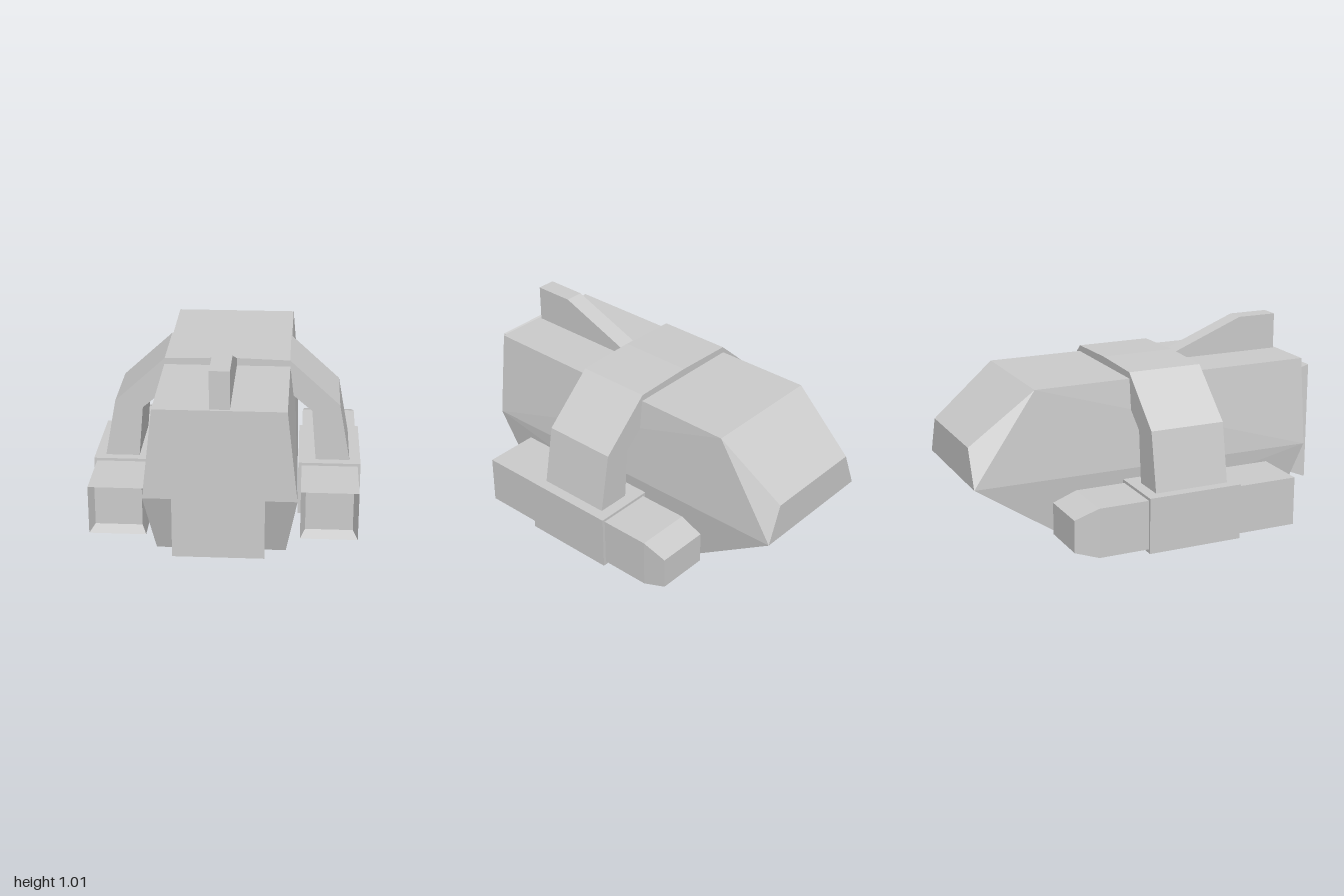
import * as THREE from 'three';
import { ConvexGeometry } from 'three/addons/geometries/ConvexGeometry.js';

const material = new THREE.MeshStandardMaterial({ color: 0xcccccc, flatShading: true });

function addPart(parent, name, geometry) {
  const mesh = new THREE.Mesh(geometry, material);
  mesh.name = name;
  parent.add(mesh);
  return mesh;
}

// Skin a run of rectangles [z, x0, x1, y0, y1], ordered from +z to -z, with closed ends
function rectLoft(rings) {
  const pos = [], index = [];
  for (const [z, x0, x1, y0, y1] of rings) {
    pos.push(x0, y0, z, x1, y0, z, x1, y1, z, x0, y1, z);
  }
  for (let r = 0; r < rings.length - 1; r++) {
    for (let i = 0; i < 4; i++) {
      const a = r * 4 + i, b = r * 4 + (i + 1) % 4;
      index.push(a, a + 4, b, b, a + 4, b + 4);
    }
  }
  const e = (rings.length - 1) * 4;
  index.push(0, 1, 2, 0, 2, 3, e, e + 2, e + 1, e, e + 3, e + 2);
  const indexed = new THREE.BufferGeometry();
  indexed.setAttribute('position', new THREE.Float32BufferAttribute(pos, 3));
  indexed.setIndex(index);
  const geometry = indexed.toNonIndexed();
  geometry.computeVertexNormals();
  return geometry;
}

function extrudeShape(points, depth) {
  const shape = new THREE.Shape(points.map(([x, y]) => new THREE.Vector2(x, y)));
  return new THREE.ExtrudeGeometry(shape, { depth, bevelEnabled: false });
}

export function createModel() {
  const model = new THREE.Group();
  model.name = 'shuttle';

  // Faceted hull: half-width, y, z of each corner, mirrored across x
  const corners = [
    [0.325, 0.815, 0.89], [0.38, 0.345, 0.89], [0.325, 0.02, 0.775],
    [0.33, 0.815, -0.66], [0.28, 0.545, -1], [0.36, 0.345, -1], [0.325, 0.02, -0.52],
  ];
  const hullPoints = corners.flatMap(([x, y, z]) =>
    [new THREE.Vector3(x, y, z), new THREE.Vector3(-x, y, z)]);
  addPart(model, 'hull', new ConvexGeometry(hullPoints));

  // Flared block at the +z end
  addPart(model, 'endBlock', rectLoft([
    [1, -0.225, 0.225, 0.09, 0.745],
    [0.75, -0.13, 0.13, 0.18, 0.635],
  ]));

  // Top fin, profile drawn as (-z, y) and turned to lie along z
  const fin = addPart(model, 'fin', extrudeShape([
    [-0.875, 0.78], [-0.265, 0.78], [-0.265, 0.855], [-0.655, 1.01], [-0.875, 1.01],
  ], 0.1));
  fin.rotation.y = Math.PI / 2;
  fin.position.x = -0.05;

  // Arch over the hull carrying the side pods
  const outer = [[0.65, 0.28], [0.59, 0.605], [0.325, 0.848]];
  const inner = [[0.2, 0.78], [0.445, 0.57], [0.47, 0.28]];
  const flip = (pts) => pts.map(([x, y]) => [-x, y]).reverse();
  const arch = addPart(model, 'arch', extrudeShape(
    [...outer, [0, 0.857], ...flip(outer), ...flip(inner), ...inner], 0.405));
  arch.position.z = -0.14;

  // Side pods: recessed at +z, chamfered at -z, each wrapped by a clamp
  for (const side of [1, -1]) {
    const pod = new THREE.Group();
    pod.name = side > 0 ? 'leftPod' : 'rightPod';
    const place = (rings) => rectLoft(rings.map(([z, a, b, y0, y1]) =>
      side > 0 ? [z, a, b, y0, y1] : [z, -b, -a, y0, y1]));
    addPart(pod, 'podBody', place([
      [0.585, 0.42, 0.665, 0.045, 0.255],
      [0.645, 0.395, 0.69, 0.02, 0.28],
      [-0.47, 0.395, 0.69, 0.02, 0.28],
      [-0.6, 0.402, 0.682, 0.065, 0.235],
    ]));
    addPart(pod, 'podClamp', place([
      [0.315, 0.378, 0.705, 0, 0.295],
      [-0.2, 0.378, 0.705, 0, 0.295],
    ]));
    model.add(pod);
  }

  return model;
}
